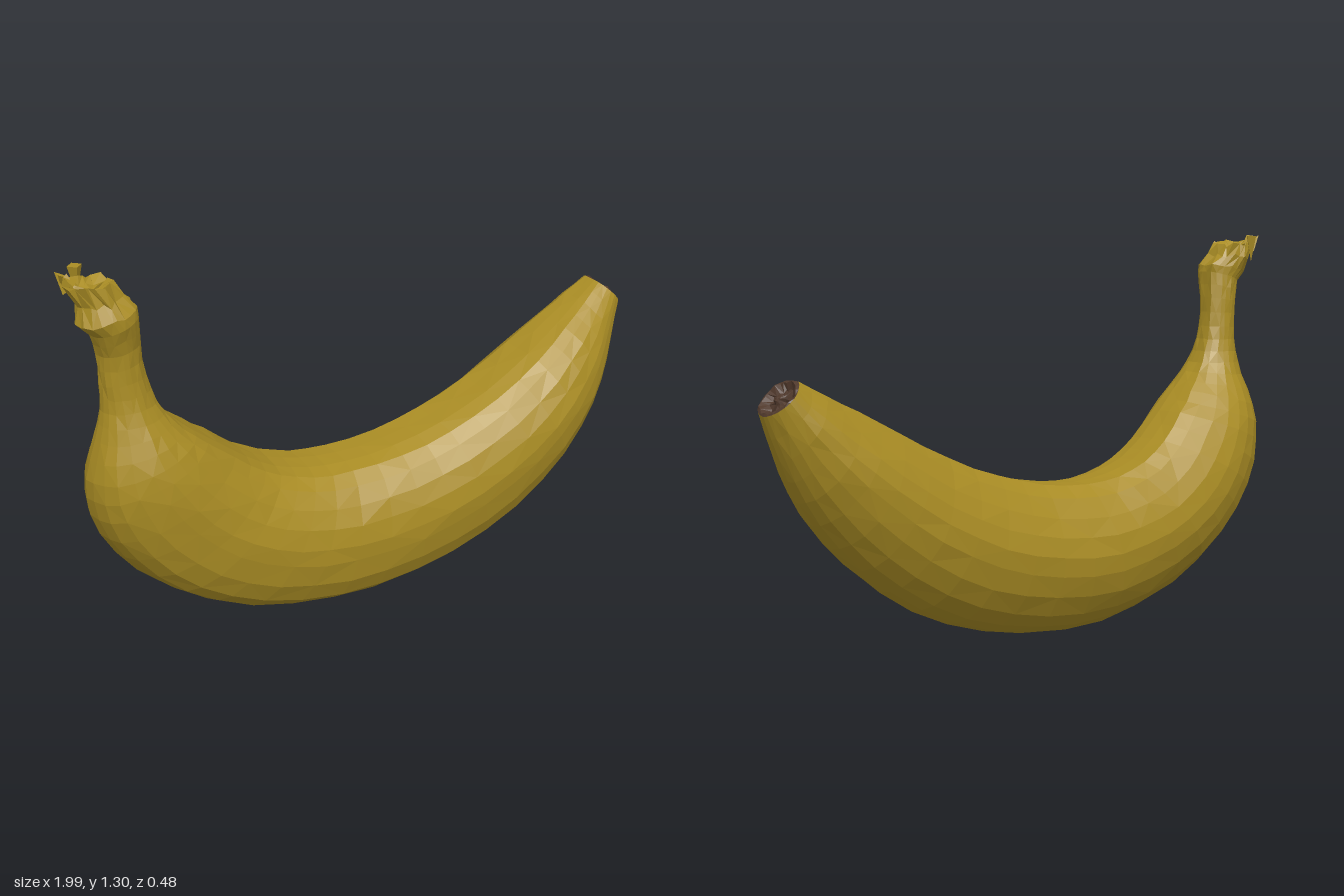
import * as THREE from 'three';

// Small seeded random, -1 to 1
let seed = 7;
const rnd = () => {
  seed = (seed * 16807) % 2147483647;
  return (seed / 2147483647) * 2 - 1;
};

// Uneven five-ridged section, from the bottom ridge round the front to the top and back: [side, up]
const section = [[0, -1], [0.27, -0.95], [0.52, -0.86], [0.75, -0.7], [0.91, -0.43], [0.985, -0.12], [1, 0.1],
  [0.94, 0.36], [0.82, 0.59], [0.65, 0.79], [0.45, 0.92], [0.2, 0.97], [-0.1, 0.98],
  [-0.4, 0.98], [-0.62, 0.83], [-0.81, 0.59], [-0.94, 0.36], [-1, 0.12], [-0.98, -0.12],
  [-0.87, -0.4], [-0.68, -0.66], [-0.45, -0.84], [-0.22, -0.95]];

// One ring: inner edge (ix, iy), outer edge (ox, oy), sideways centre z and half width w
function ring([ix, iy, ox, oy, z, w], jitter = 0) {
  return section.map(([u, v]) => {
    const k = (v + 1) / 2;
    return new THREE.Vector3(
      ox + (ix - ox) * k + rnd() * jitter,
      oy + (iy - oy) * k + rnd() * jitter,
      z + u * w + rnd() * jitter
    );
  });
}

// Skin a list of rings
function loft(rings) {
  const n = section.length, pos = [], index = [];
  rings.forEach(r => r.forEach(p => pos.push(p.x, p.y, p.z)));
  for (let i = 0; i < rings.length - 1; i++) {
    for (let j = 0; j < n; j++) {
      const a = i * n + j, b = i * n + (j + 1) % n, c = a + n, d = b + n;
      if ((i + j) % 2) index.push(a, c, d, a, d, b);
      else index.push(a, c, b, b, c, d);
    }
  }
  const g = new THREE.BufferGeometry();
  g.setAttribute('position', new THREE.Float32BufferAttribute(pos, 3));
  g.setIndex(index);
  g.computeVertexNormals();
  return g;
}

// Stations along the fruit, stem to tip
const stations = [
  [-0.79, 1.17, -0.93, 1.13, 0.025, 0.073],
  [-0.785, 1.08, -0.912, 1.06, 0.012, 0.062],
  [-0.775, 0.98, -0.912, 0.97, 0.01, 0.062],
  [-0.75, 0.89, -0.915, 0.89, 0.01, 0.075],
  [-0.705, 0.82, -0.94, 0.8, 0.01, 0.105],
  [-0.64, 0.76, -0.975, 0.68, 0, 0.15],
  [-0.56, 0.695, -0.97, 0.55, -0.015, 0.18],
  [-0.46, 0.61, -0.9, 0.39, -0.03, 0.197],
  [-0.36, 0.55, -0.75, 0.22, -0.035, 0.205],
  [-0.25, 0.515, -0.52, 0.08, -0.03, 0.207],
  [-0.12, 0.503, -0.22, 0.003, -0.02, 0.208],
  [0.05, 0.518, 0.08, 0.015, 0, 0.21],
  [0.22, 0.563, 0.36, 0.09, 0.015, 0.212],
  [0.4, 0.633, 0.6, 0.23, 0.025, 0.21],
  [0.57, 0.723, 0.77, 0.39, 0.022, 0.193],
  [0.71, 0.797, 0.88, 0.54, 0.008, 0.158],
  [0.82, 0.85, 0.945, 0.67, -0.01, 0.115],
  [0.902, 0.895, 0.997, 0.8, -0.02, 0.078]
];

export function createModel() {
  seed = 7;
  const group = new THREE.Group();
  const yellow = new THREE.MeshStandardMaterial({ color: 0xa98c24, flatShading: true });
  yellow.name = 'peelYellow';
  const brown = new THREE.MeshStandardMaterial({ color: 0x4f382b, flatShading: true });
  brown.name = 'tipBrown';
  const add = (name, geometry, material) => {
    const mesh = new THREE.Mesh(geometry, material);
    mesh.name = name;
    group.add(mesh);
    return mesh;
  };

  // Peel: smooth curves through the stations, slightly uneven between the two ends
  const curve = f => new THREE.CatmullRomCurve3(stations.map(f), false, 'catmullrom', 0.5);
  const inner = curve(s => new THREE.Vector3(s[0], s[1], 0));
  const outer = curve(s => new THREE.Vector3(s[2], s[3], 0));
  const width = curve(s => new THREE.Vector3(s[4], s[5], 0));
  const steps = 34, rings = [];
  for (let i = 0; i <= steps; i++) {
    const t = i / steps;
    const a = inner.getPoint(t), b = outer.getPoint(t), c = width.getPoint(t);
    rings.push(ring([a.x, a.y, b.x, b.y, c.x, c.y], i % steps ? 0.002 : 0));
  }
  add('peel', loft(rings), yellow);

  // Torn crown on the stem: sunken middle, ragged rim, neck, shoulder, stem
  add('stemCrown', loft([
    ring([-0.9, 1.245, -0.9, 1.245, 0, 0]),
    ring([-0.875, 1.25, -0.945, 1.255, 0, 0.035], 0.008),
    ring([-0.845, 1.262, -0.985, 1.287, 0, 0.07], 0.012),
    ring([-0.83, 1.228, -0.95, 1.215, 0.005, 0.075], 0.008),
    ring([-0.792, 1.195, -0.965, 1.165, 0.022, 0.078], 0.004),
    ring(stations[0])
  ]), yellow);

  // Torn flakes: one hooked down at the back, one standing at the outer corner
  [
    [-0.915, 1.25, -0.08, Math.PI, 0, 0.022, 0.09],
    [-0.965, 1.275, -0.045, -0.4, 0.6, 0.03, 0.06]
  ].forEach(([x, y, z, rx, rz, r, h]) => {
    const flake = add('crownFlake', new THREE.ConeGeometry(r, h, 4), yellow);
    flake.position.set(x, y, z);
    flake.rotation.set(rx, 0, rz);
  });

  // Dry blossom end: rim, hollow and a small middle knob
  add('blossomTip', loft([
    ring(stations[stations.length - 1]),
    ring([0.912, 0.892, 0.992, 0.808, -0.02, 0.07], 0.004),
    ring([0.912, 0.868, 0.962, 0.812, -0.02, 0.045], 0.006),
    ring([0.926, 0.857, 0.954, 0.828, -0.02, 0.022], 0.004),
    ring([0.948, 0.85, 0.958, 0.84, -0.02, 0.012], 0.002),
    ring([0.953, 0.845, 0.953, 0.845, -0.02, 0])
  ]), brown);

  return group;
}
